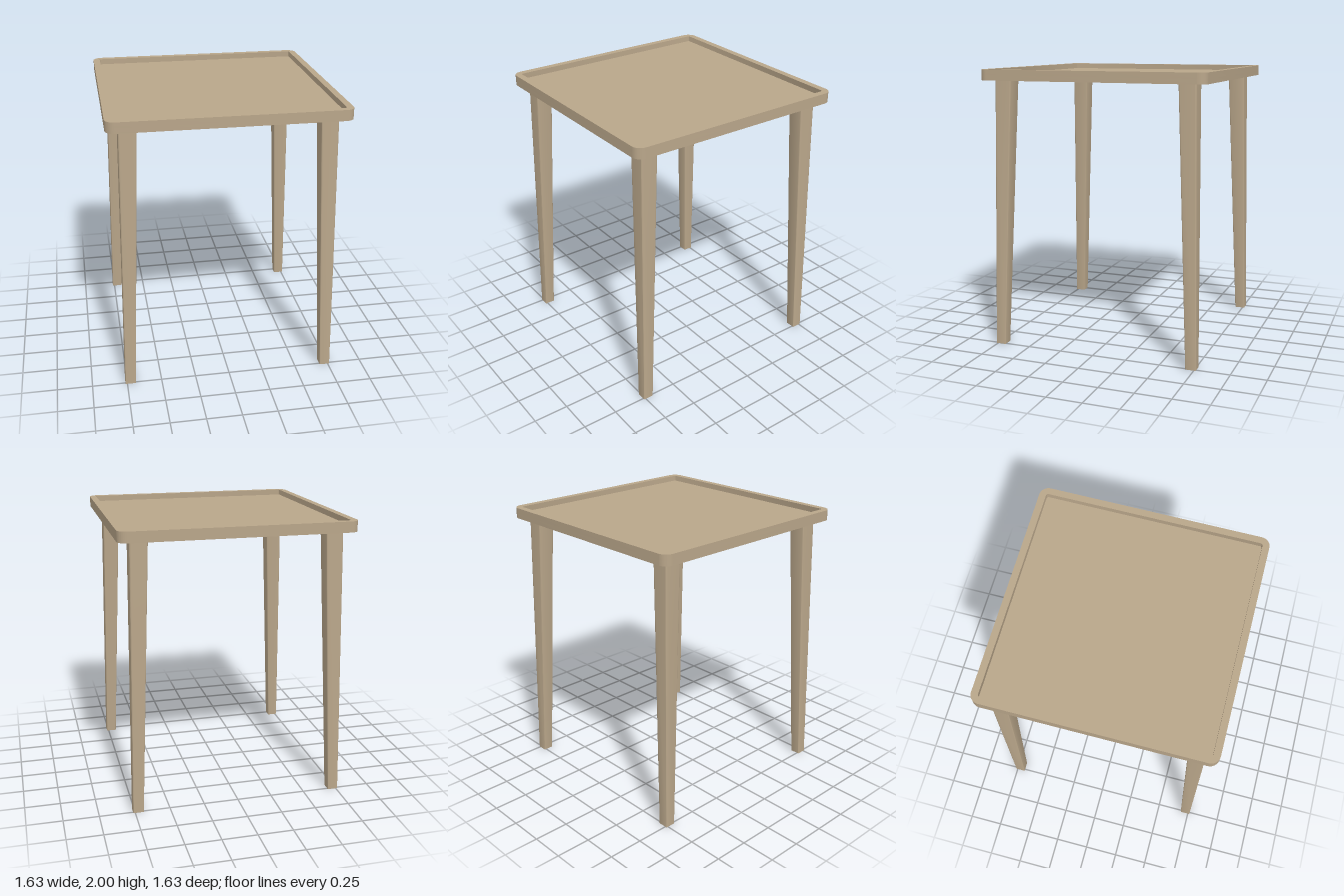
import * as THREE from 'three';
import { toCreasedNormals } from 'three/addons/utils/BufferGeometryUtils.js';

// Rounded square centred on the origin
function roundedSquare(half, r, Type = THREE.Shape) {
  const s = new Type();
  const c = half - r;
  s.moveTo(c, -half);
  s.absarc(c, -c, r, -Math.PI / 2, 0, false);
  s.absarc(c, c, r, 0, Math.PI / 2, false);
  s.absarc(-c, c, r, Math.PI / 2, Math.PI, false);
  s.absarc(-c, -c, r, Math.PI, Math.PI * 1.5, false);
  s.closePath();
  return s;
}

// Extrude a shape upwards from y = 0
function extrudeUp(shape, height, curveSegments) {
  const g = new THREE.ExtrudeGeometry(shape, { depth: height, bevelEnabled: false, curveSegments });
  g.rotateX(-Math.PI / 2);
  return g;
}

export function createModel() {
  const wood = new THREE.MeshStandardMaterial({ color: 0xb9a68a });
  wood.name = 'light wood';
  const group = new THREE.Group();
  group.name = 'sideTable';

  const add = (name, geometry, y) => {
    const mesh = new THREE.Mesh(toCreasedNormals(geometry, 0.6), wood);
    mesh.name = name;
    mesh.position.y = y;
    group.add(mesh);
    return mesh;
  };

  // Tray top: a solid panel with a raised rim around the recess
  const panelY = 1.925, recess = 0.04, panelHeight = 0.075 - recess;
  add('topPanel', extrudeUp(roundedSquare(0.815, 0.065), panelHeight, 10), panelY);
  const rim = roundedSquare(0.815, 0.065);
  rim.holes.push(roundedSquare(0.767, 0.015, THREE.Path));
  add('topRim', extrudeUp(rim, recess, 10), panelY + panelHeight);

  // Legs: lightly rounded square section, widening upwards and leaning inwards
  const leg = extrudeUp(roundedSquare(0.5, 0.08), 1, 3);
  const p = leg.attributes.position;
  for (let i = 0; i < p.count; i++) {
    const t = p.getY(i);
    const width = THREE.MathUtils.lerp(0.075, 0.122, t);
    const centre = THREE.MathUtils.lerp(0.726, 0.669, t);
    p.setXYZ(i, centre + p.getX(i) * width, t * panelY, centre + p.getZ(i) * width);
  }
  const names = ['frontLeftLeg', 'backLeftLeg', 'backRightLeg', 'frontRightLeg'];
  names.forEach((name, i) => {
    add(name, leg, 0).rotation.y = i * Math.PI / 2;
  });

  return group;
}
